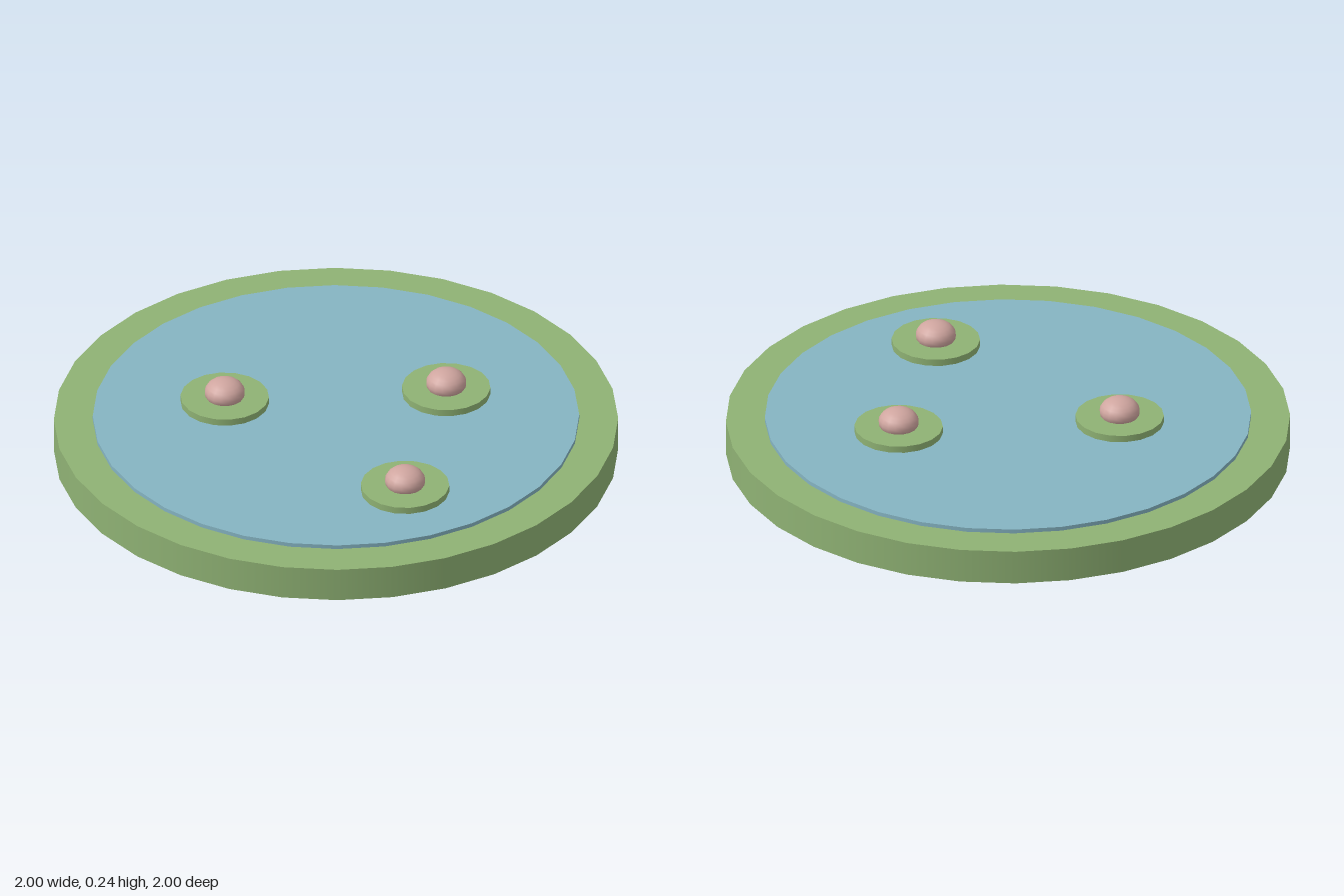
import * as THREE from 'three';

export function createModel() {
  const group = new THREE.Group();
  group.name = 'lilyPond';

  const paint = (name, color) => {
    const material = new THREE.MeshStandardMaterial({ color });
    material.name = name;
    return material;
  };
  const green = paint('leafGreen', 0x8fb274);
  const blue = paint('waterBlue', 0x85b4c2);
  const pink = paint('blossomPink', 0xcfa59f);

  // Upright disc spanning from bottom to top
  const disc = (name, material, radius, bottom, top, sides) => {
    const mesh = new THREE.Mesh(
      new THREE.CylinderGeometry(radius, radius, top - bottom, sides), material);
    mesh.name = name;
    mesh.position.y = (bottom + top) / 2;
    return mesh;
  };

  // Grassy bank and the water lying on it
  group.add(disc('bank', green, 1, 0, 0.127, 32));
  group.add(disc('water', blue, 0.862, 0.11, 0.142, 32));

  // Lily pads floating just above the water, each with a squashed bud
  const spots = [[-0.37, 0.155], [0.25, -0.33], [0.485, 0.29]];
  for (const [x, z] of spots) {
    const lily = new THREE.Group();
    lily.name = 'lily';
    lily.position.set(x, 0, z);

    const bud = new THREE.Mesh(new THREE.SphereGeometry(0.072, 16, 12), pink);
    bud.name = 'bud';
    bud.scale.y = 0.7;
    bud.position.y = 0.193;

    lily.add(disc('pad', green, 0.157, 0.15, 0.175, 18), bud);
    group.add(lily);
  }
  return group;
}
